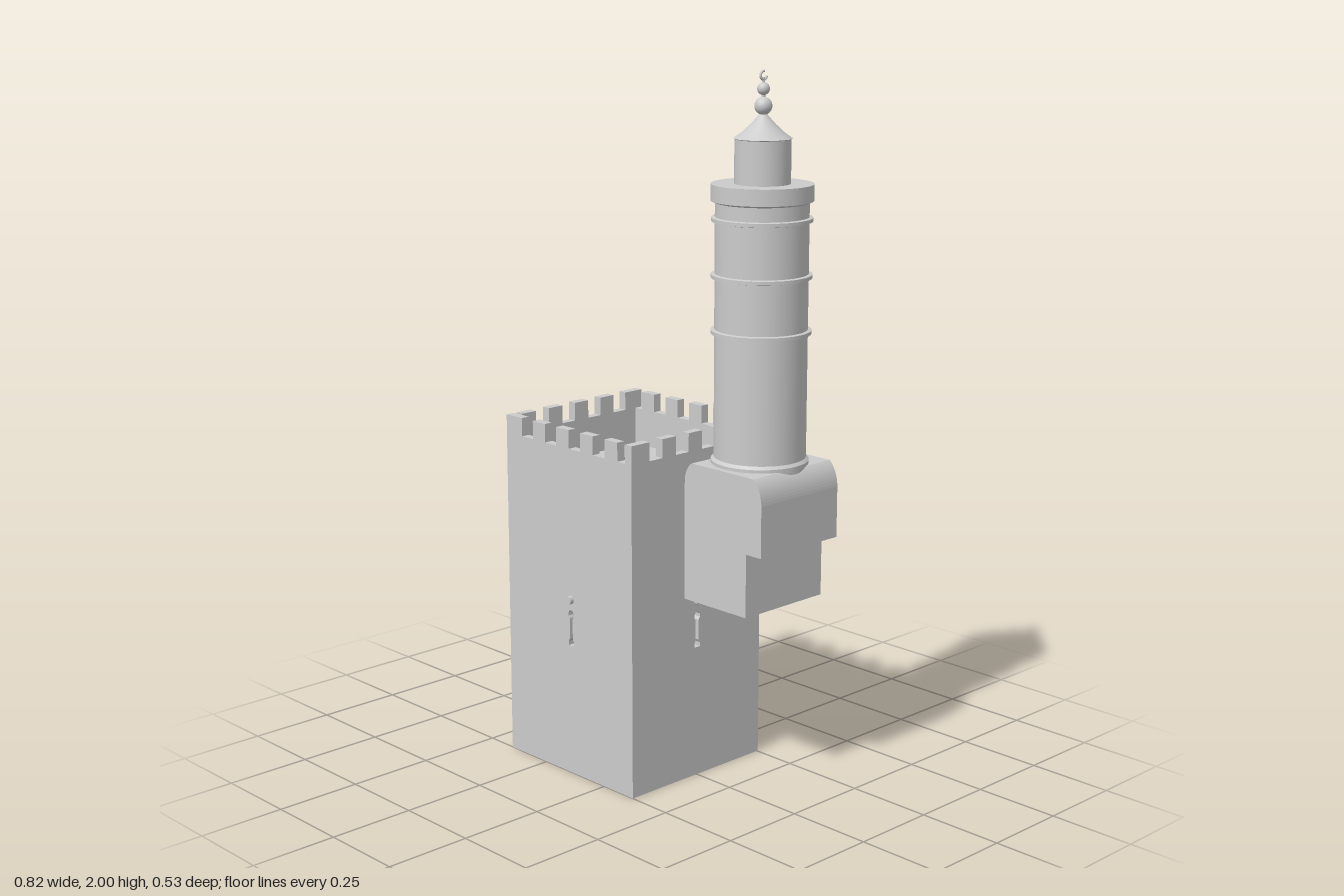
import * as THREE from 'three';

const mat = new THREE.MeshStandardMaterial({ color: 0xcccccc });

// Tower extents and the shaft through its middle
const X0 = -0.405, X1 = 0.118, Z0 = -0.253, Z1 = 0.25;
const HX0 = -0.28, HX1 = -0.003, HZ = 0.131;
const CX = (X0 + X1) / 2, DECK = 0.85, CREST = 0.96, TOP = 1.013, T = 0.026;
const SLIT_X = -0.135;

function add(parent, name, geo, x = 0, y = 0, z = 0) {
  const m = new THREE.Mesh(geo, mat);
  m.name = name;
  m.position.set(x, y, z);
  parent.add(m);
  return m;
}

function box(parent, name, x0, x1, y0, y1, z0, z1) {
  const g = new THREE.BoxGeometry(x1 - x0, y1 - y0, z1 - z0);
  return add(parent, name, g, (x0 + x1) / 2, (y0 + y1) / 2, (z0 + z1) / 2);
}

// Arrow slit: narrow in the middle, wider at both ends
function slitPath(cx) {
  const half = [[0.011, 0.385], [0.011, 0.397], [0.006, 0.405], [0.006, 0.465],
    [0.011, 0.473], [0.011, 0.482], [0.005, 0.49]];
  const pts = half.map(([x, y]) => new THREE.Vector2(cx + x, y));
  half.slice().reverse().forEach(([x, y]) => pts.push(new THREE.Vector2(cx - x, y)));
  return new THREE.Path(pts);
}

// Thick wall panel pierced by a slit, extruded along +z
function wallGeometry(a, b, slitX, depth) {
  const s = new THREE.Shape();
  s.moveTo(a, 0).lineTo(b, 0).lineTo(b, DECK).lineTo(a, DECK).closePath();
  s.holes.push(slitPath(slitX));
  return new THREE.ExtrudeGeometry(s, { depth, bevelEnabled: false });
}

function buildTower() {
  const g = new THREE.Group();
  g.name = 'squareTower';
  add(g, 'frontWall', wallGeometry(X0, X1, SLIT_X, Z1 - HZ), 0, 0, HZ);
  add(g, 'backWall', wallGeometry(X0, X1, SLIT_X, -HZ - Z0), 0, 0, Z0);
  add(g, 'rightWall', wallGeometry(-HZ, HZ, 0, HX0 - X0).rotateY(Math.PI / 2), X0);
  add(g, 'leftWall', wallGeometry(-HZ, HZ, 0, X1 - HX1).rotateY(Math.PI / 2), HX1);

  // Parapet standing around the deck
  const ring = new THREE.Shape();
  ring.moveTo(X0, -Z1).lineTo(X1, -Z1).lineTo(X1, -Z0).lineTo(X0, -Z0).closePath();
  const inner = new THREE.Path();
  inner.moveTo(X0 + T, -Z1 + T).lineTo(X1 - T, -Z1 + T).lineTo(X1 - T, -Z0 - T).lineTo(X0 + T, -Z0 - T).closePath();
  ring.holes.push(inner);
  const parapet = new THREE.ExtrudeGeometry(ring, { depth: CREST - DECK, bevelEnabled: false });
  add(g, 'parapet', parapet.rotateX(-Math.PI / 2), 0, DECK, 0);

  // Merlons: five per side, turning round the tower in sequence
  const W = X1 - X0, D = Z1 - Z0, n = 5;
  for (let i = 0; i < n; i++) {
    const a = i === 0 ? 0 : 0.015 + i * 0.1, b = 0.067 + i * 0.1;
    box(g, 'frontMerlon', X0 + a, X0 + b, CREST, TOP, Z1 - T, Z1);
    box(g, 'backMerlon', X1 - b, X1 - a, CREST, TOP, Z0, Z0 + T);
    const c = Math.min(a, D), d = Math.min(b, D);
    box(g, 'leftMerlon', X1 - T, X1, CREST, TOP, Z1 - d, Z1 - c);
    box(g, 'rightMerlon', X0, X0 + T, CREST, TOP, Z0 + c, Z0 + d);
  }

  // Round studs above the slits
  const stud = () => new THREE.CylinderGeometry(0.012, 0.012, 0.03, 20);
  for (const z of [Z0 + 0.004, Z1 - 0.003]) add(g, 'stud', stud().rotateX(Math.PI / 2), SLIT_X, 0.522, z);
  for (const x of [X0 + 0.005, X1 - 0.004]) add(g, 'stud', stud().rotateZ(Math.PI / 2), x, 0.522, 0);
  return g;
}

// Stepped corbel with a rounded outer shoulder
function buildCorbel() {
  const s = new THREE.Shape();
  s.moveTo(X1, 0.54).lineTo(0.355, 0.54).lineTo(0.355, 0.72).lineTo(0.41, 0.72).lineTo(0.41, 0.865);
  s.quadraticCurveTo(0.408, 0.91, 0.38, 0.935);
  s.lineTo(0.145, 0.935);
  s.quadraticCurveTo(0.122, 0.92, X1, 0.885);
  s.closePath();
  const geo = new THREE.ExtrudeGeometry(s, { depth: 0.303, bevelEnabled: false, curveSegments: 10 });
  const g = new THREE.Group();
  g.name = 'corbel';
  add(g, 'corbelBlock', geo, 0, 0, Z0);
  return g;
}

// Lathe with sharp edges: one band for each straight run of the profile
function turned(parent, name, profile) {
  for (let i = 0; i < profile.length - 1; i++) {
    const pts = [profile[i], profile[i + 1]].map(([r, y]) => new THREE.Vector2(r, y));
    add(parent, name, new THREE.LatheGeometry(pts, 64));
  }
}

function buildTurret() {
  const g = new THREE.Group();
  g.name = 'roundTurret';
  g.position.set(0.256, 0, -0.103);
  turned(g, 'shaft', [[0.135, 0.92], [0.135, 0.944], [0.127, 0.952], [0.127, 1.65],
    [0.139, 1.655], [0.139, 1.7], [0.076, 1.7], [0.076, 1.818], [0.079, 1.82]]);

  // Thin string courses
  for (const y of [1.3, 1.452, 1.605]) {
    turned(g, 'ringMoulding', [[0.127, y - 0.007], [0.137, y - 0.005], [0.137, y + 0.005], [0.127, y + 0.007]]);
  }

  // Slightly curved conical roof
  const roof = [[0.079, 1.82], [0.058, 1.835], [0.034, 1.857], [0.015, 1.878], [0.005, 1.89]];
  add(g, 'conicalRoof', new THREE.LatheGeometry(roof.map(([r, y]) => new THREE.Vector2(r, y)), 64));

  // Finial: rod, two balls and an open crescent
  add(g, 'finialRod', new THREE.CylinderGeometry(0.004, 0.006, 0.1, 16), 0, 1.93, 0);
  add(g, 'finialBall', new THREE.SphereGeometry(0.024, 32, 20), 0, 1.905, 0);
  add(g, 'finialBall', new THREE.SphereGeometry(0.017, 32, 20), 0, 1.95, 0);
  const arc = Math.PI * 1.5;
  const crescent = new THREE.TorusGeometry(0.0115, 0.0035, 10, 32, arc).rotateZ(Math.PI * 0.45).rotateY(Math.PI / 2);
  add(g, 'crescent', crescent, 0, 1.985, 0);
  return g;
}

export function createModel() {
  const model = new THREE.Group();
  model.name = 'towerWithTurret';
  model.add(buildTower(), buildCorbel(), buildTurret());
  return model;
}
